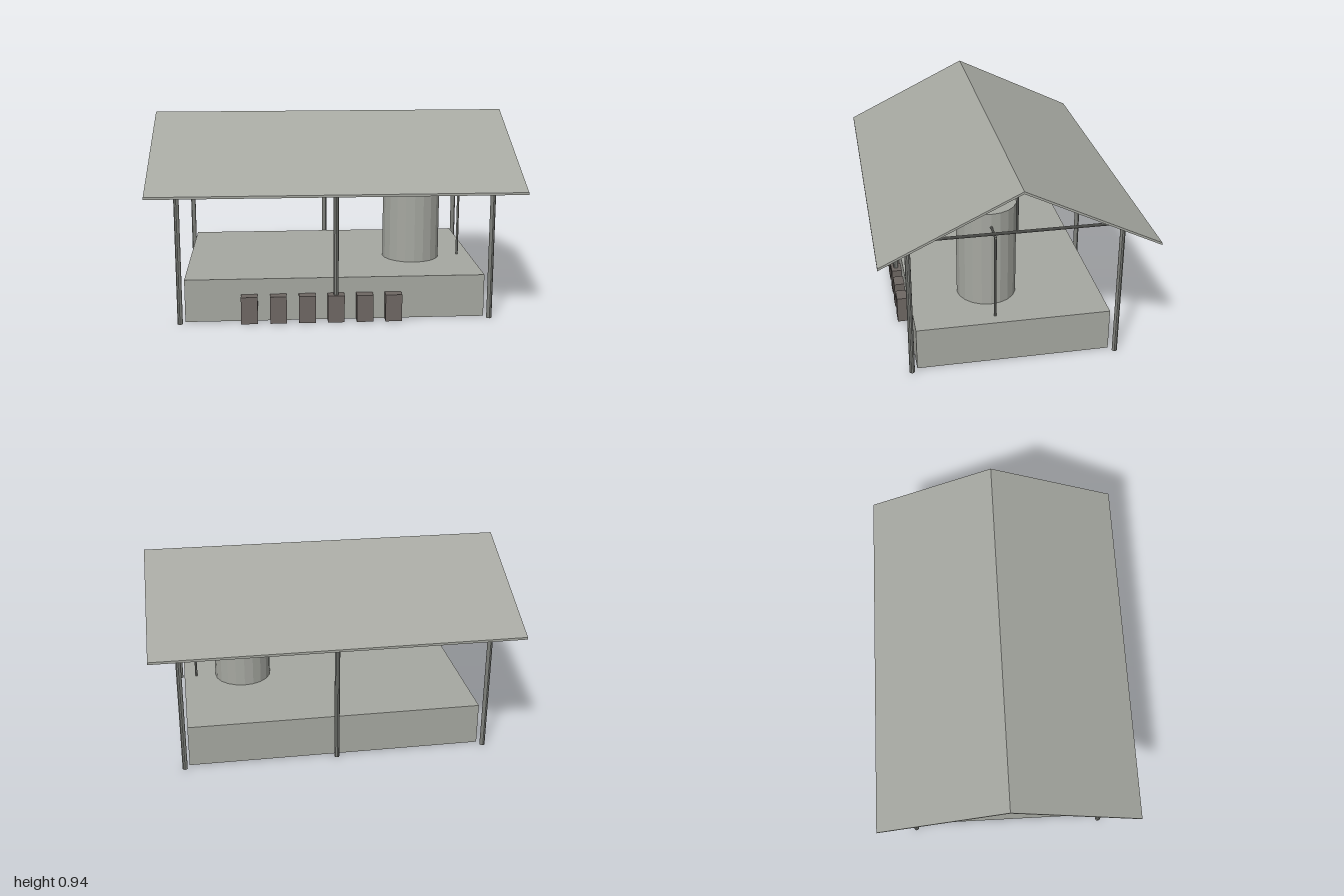
import * as THREE from 'three';

const mat = (name, color, flat = true) => {
  const m = new THREE.MeshStandardMaterial({ color, flatShading: flat });
  m.name = name;
  return m;
};

export function createModel() {
  const model = new THREE.Group();
  model.name = 'shelter';
  const shelter = new THREE.Group();
  shelter.name = 'turnedShelter';
  shelter.rotation.y = -0.284; // the building stands at an angle
  model.add(shelter);

  const concrete = mat('concrete', 0xa6a8a1);
  const steel = mat('steel', 0x7e807b);
  const crate = mat('crate', 0x6e6763);

  const add = (name, geometry, material, x = 0, y = 0, z = 0) => {
    const mesh = new THREE.Mesh(geometry, material);
    mesh.name = name;
    mesh.position.set(x, y, z);
    shelter.add(mesh);
    return mesh;
  };

  // Round bar between two points
  const bar = (name, a, b, r) => {
    const p = new THREE.Vector3(...a), q = new THREE.Vector3(...b);
    const d = q.clone().sub(p);
    const mesh = add(name, new THREE.CylinderGeometry(r, r, d.length(), 10), steel);
    mesh.position.copy(p).add(q).multiplyScalar(0.5);
    mesh.quaternion.setFromUnitVectors(new THREE.Vector3(0, 1, 0), d.normalize());
    return mesh;
  };

  // Platform
  add('platform', new THREE.BoxGeometry(1.416, 0.205, 0.908), concrete, 0, 0.1025, 0);

  // Gable roof: thin folded sheet
  const halfLength = 0.86, halfWidth = 0.618, ridge = 0.937, eave = 0.636, thick = 0.011;
  const profile = new THREE.Shape([
    [-halfWidth, eave - thick], [0, ridge - thick], [halfWidth, eave - thick],
    [halfWidth, eave], [0, ridge], [-halfWidth, eave],
  ].map(([x, y]) => new THREE.Vector2(x, y)));
  const roof = new THREE.ExtrudeGeometry(profile, { depth: 2 * halfLength, bevelEnabled: false });
  roof.translate(0, 0, -halfLength).rotateY(Math.PI / 2);
  add('roof', roof, concrete);

  // Three frames: posts, tie beam, king post and rafters
  const w = 0.48;
  for (const x of [-0.73, 0, 0.73]) {
    bar('tieBeam', [x, 0.68, -w], [x, 0.68, w], 0.007);
    bar('kingPost', [x, 0.68, 0], [x, 0.92, 0], 0.006);
    for (const s of [-1, 1]) {
      bar('post', [x, 0, s * w], [x, 0.687, s * w], 0.0125);
      bar('rafter', [x, 0.684, s * w], [x, 0.917, 0], 0.007);
    }
  }

  // Tank with its outlet pipe
  const tx = 0.406, tz = 0.079;
  add('tank', new THREE.CylinderGeometry(0.142, 0.142, 0.475, 20), concrete, tx, 0.4425, tz);
  bar('outletPipe', [tx + 0.13, 0.614, tz], [tx + 0.247, 0.614, tz], 0.006);
  bar('downPipe', [tx + 0.241, 0.205, tz], [tx + 0.241, 0.62, tz], 0.006);

  // Row of crates along the front
  for (let i = -3; i <= 2; i++) {
    add('crate', new THREE.BoxGeometry(0.078, 0.13, 0.05), crate, i * 0.1355, 0.065, 0.479);
  }

  return model;
}
